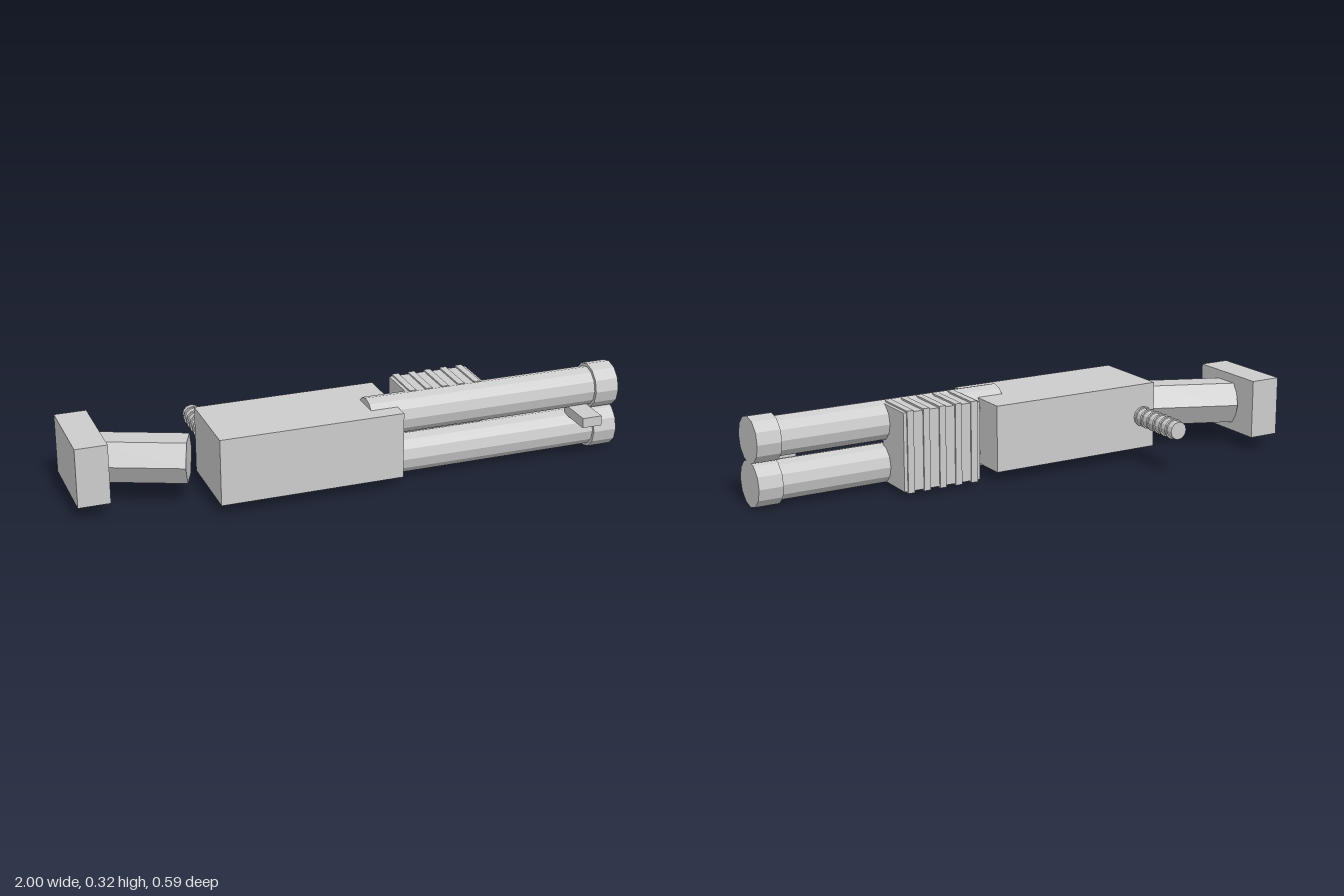
import * as THREE from 'three';

const material = new THREE.MeshStandardMaterial({ color: 0xcccccc, flatShading: true });

export function createModel() {
  const model = new THREE.Group();
  model.name = 'doubleBarrelGun';

  const add = (name, geometry) => {
    const mesh = new THREE.Mesh(geometry, material);
    mesh.name = name;
    model.add(mesh);
    return mesh;
  };
  // Box given by its limits along each axis
  const box = (name, [x0, x1], [y0, y1], [z0, z1]) =>
    add(name, new THREE.BoxGeometry(x1 - x0, y1 - y0, z1 - z0))
      .position.set((x0 + x1) / 2, (y0 + y1) / 2, (z0 + z1) / 2);
  // Faceted rod lying along x
  const rodX = (name, radius, x0, x1, y, z, sides = 12) => {
    const mesh = add(name, new THREE.CylinderGeometry(radius, radius, x1 - x0, sides).rotateZ(-Math.PI / 2));
    mesh.position.set((x0 + x1) / 2, y, z);
    return mesh;
  };
  // Faceted rod lying along z
  const rodZ = (name, radius, x, y, z0, z1) =>
    add(name, new THREE.CylinderGeometry(radius, radius, z1 - z0, 12).rotateX(Math.PI / 2))
      .position.set(x, y, (z0 + z1) / 2);

  const midY = 0.163;

  // Receiver and butt plate
  box('receiver', [-0.53, 0.14], [0.041, 0.285], [-0.06, 0.25]);
  box('buttPlate', [-1, -0.885], [0.054, 0.272], [-0.197, 0.125]);

  // Angled hexagonal stock
  const stock = rodX('stock', 0.088, -0.922, -0.584, midY, 0.026, 6);
  stock.rotation.y = -Math.PI / 8;

  // Twin barrels with muzzle collars
  for (const [side, y] of [['upper', 0.24], ['lower', 0.084]]) {
    rodX(side + 'Barrel', 0.072, 0.04, 0.99, y, 0.134);
    rodX(side + 'Muzzle', 0.084, 0.91, 1, y, 0.134);
  }

  // Sight between the barrels
  box('sight', [0.82, 0.895], [0.145, 0.182], [0.15, 0.295]);

  // Ribbed fore grip
  box('foreGrip', [0.2, 0.5], [0.021, 0.306], [-0.042, 0.12]);
  for (let i = 0; i < 5; i++) {
    const x = 0.225 + i * 0.0625;
    box('foreGripRib', [x - 0.0125, x + 0.0125], [0.015, 0.312], [-0.047, 0.125]);
  }

  // Ringed handle on the back of the receiver
  rodZ('handle', 0.033, -0.478, midY, -0.294, -0.04);
  for (let i = 0; i < 6; i++) {
    const z = -0.068 - i * 0.039;
    rodZ('handleRing', 0.038, -0.478, midY, z - 0.005, z + 0.005);
  }

  return model;
}
